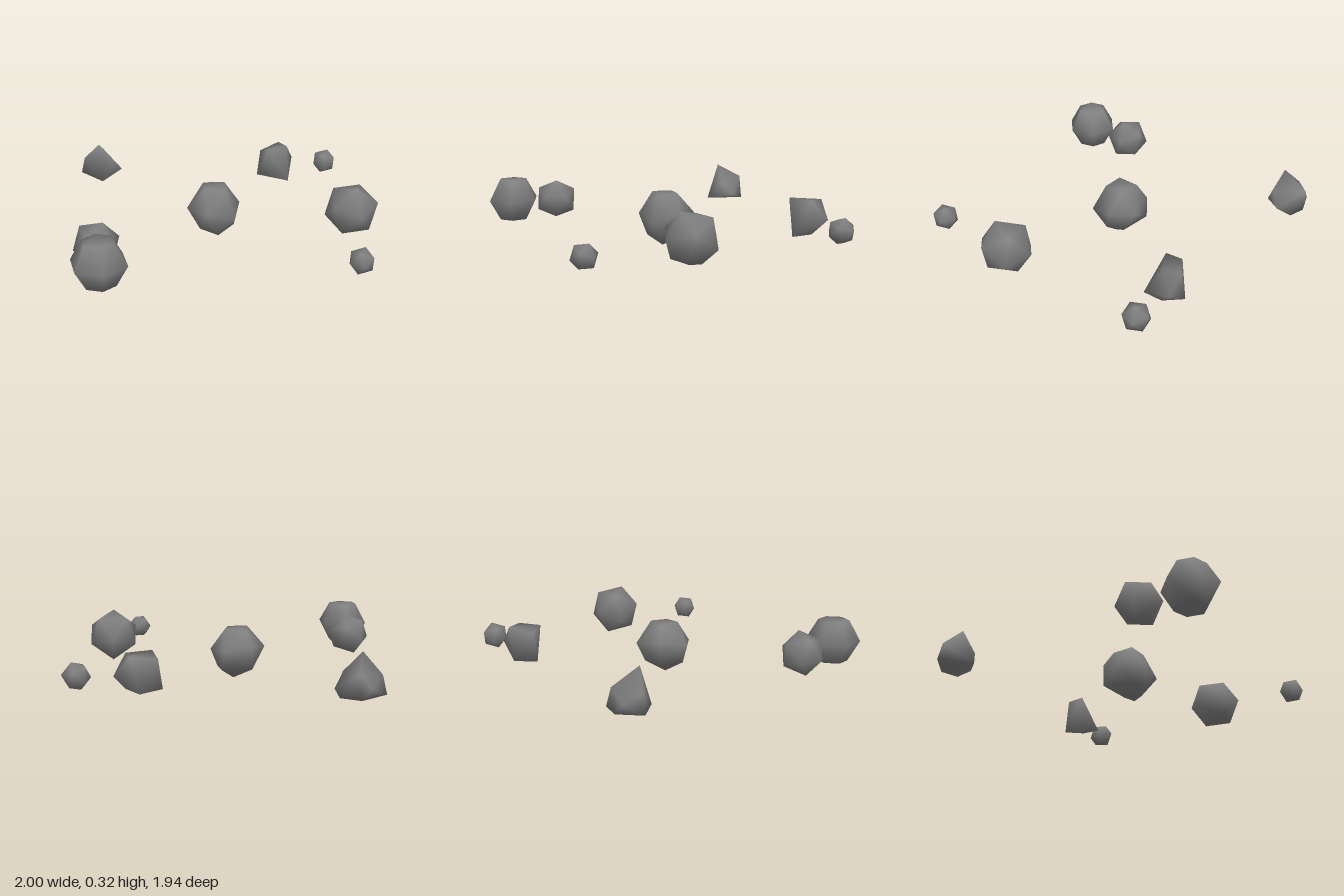
import * as THREE from 'three';
import { mergeVertices } from 'three/addons/utils/BufferGeometryUtils.js';
import { ConvexGeometry } from 'three/addons/geometries/ConvexGeometry.js';

const stone = new THREE.MeshStandardMaterial({ color: 0x808080 });
stone.name = 'grey stone';

// Weld the corners so each rock is shaded smoothly
function smooth(geometry) {
  geometry.deleteAttribute('normal');
  geometry.deleteAttribute('uv');
  const welded = mergeVertices(geometry, 1e-4);
  welded.computeVertexNormals();
  return welded;
}

const hull = (points) =>
  smooth(new ConvexGeometry(points.map((p) => new THREE.Vector3(...p))));

// Each point off the middle plane is repeated on the other side
const mirrored = (points) =>
  points.flatMap(([x, y, z]) => (x ? [[x, y, z], [-x, y, z]] : [[x, y, z]]));

// Hexagonal rings stacked as [y, radius]
const rings = (levels) =>
  levels.flatMap(([y, r]) => Array.from({ length: 6 }, (_, i) => {
    const a = (i * Math.PI) / 3;
    return [r * Math.cos(a), y, r * Math.sin(a)];
  }));

export function createModel() {
  const group = new THREE.Group();
  group.name = 'scatteredRocks';

  function add(name, geometry, position = [0, 0, 0], rotation = [0, 0, 0]) {
    const mesh = new THREE.Mesh(geometry, stone);
    mesh.name = name;
    mesh.position.set(...position);
    mesh.rotation.set(...rotation);
    group.add(mesh);
  }

  // Rounded rock in the middle
  add('centreRock', hull(mirrored([
    [0.07, 0.275, 0.01], [0, 0.268, 0.085], [0, 0.268, -0.075],
    [0.133, 0.17, -0.06], [0.12, 0.165, 0.072], [0.1, 0.06, 0.0],
    [0, 0.135, 0.155], [0, 0.19, -0.128], [0, 0.075, -0.128],
    [0, 0, 0.035], [0.065, 0.06, 0.085],
  ])));

  // Large six-sided rock
  add('rightRock', hull(rings([[0.107, 0.079], [0, 0.139], [-0.107, 0.079]])),
    [-0.863, 0.188, 0.125]);

  // Evenly faceted rocks: name, radius, position, rotation
  const faceted = [
    ['frontRock', 0.139, [0.405, 0.192, 0.58], [0.25, 0.45, -0.3]],
    ['rightBackRock', 0.115, [-0.717, 0.166, -0.077], [0.3, 0.2, 0.35]],
    ['leftPebble', 0.07, [0.928, 0.157, 0], [0.2, 0.3, 0.25]],
    ['frontPebble', 0.066, [0.046, 0.145, 0.908], [0.1, 0.3, 0.1]],
  ];
  for (const [name, radius, position, rotation] of faceted) {
    add(name, smooth(new THREE.IcosahedronGeometry(radius, 0)), position, rotation);
  }

  // Broken rocks with sharp lower corners
  add('backRock', hull([
    [-0.06, 0.295, -0.857], [-0.097, 0.1, -0.79], [0.088, 0.105, -0.87],
    [0.045, 0.22, -0.95], [-0.107, 0.11, -0.968], [-0.01, 0.15, -0.975],
    [0.06, 0.13, -0.805], [-0.005, 0.2, -0.79], [0.03, 0.1, -0.95],
    [-0.095, 0.2, -0.95],
  ]));
  add('leftRock', hull([
    [0.67, 0.09, -0.055], [0.82, 0.17, -0.155], [0.765, 0.262, -0.215],
    [0.615, 0.267, -0.16], [0.61, 0.095, -0.24], [0.735, 0.09, -0.24],
    [0.74, 0.265, -0.13], [0.63, 0.24, -0.235], [0.745, 0.095, -0.13],
  ]));

  return group;
}
